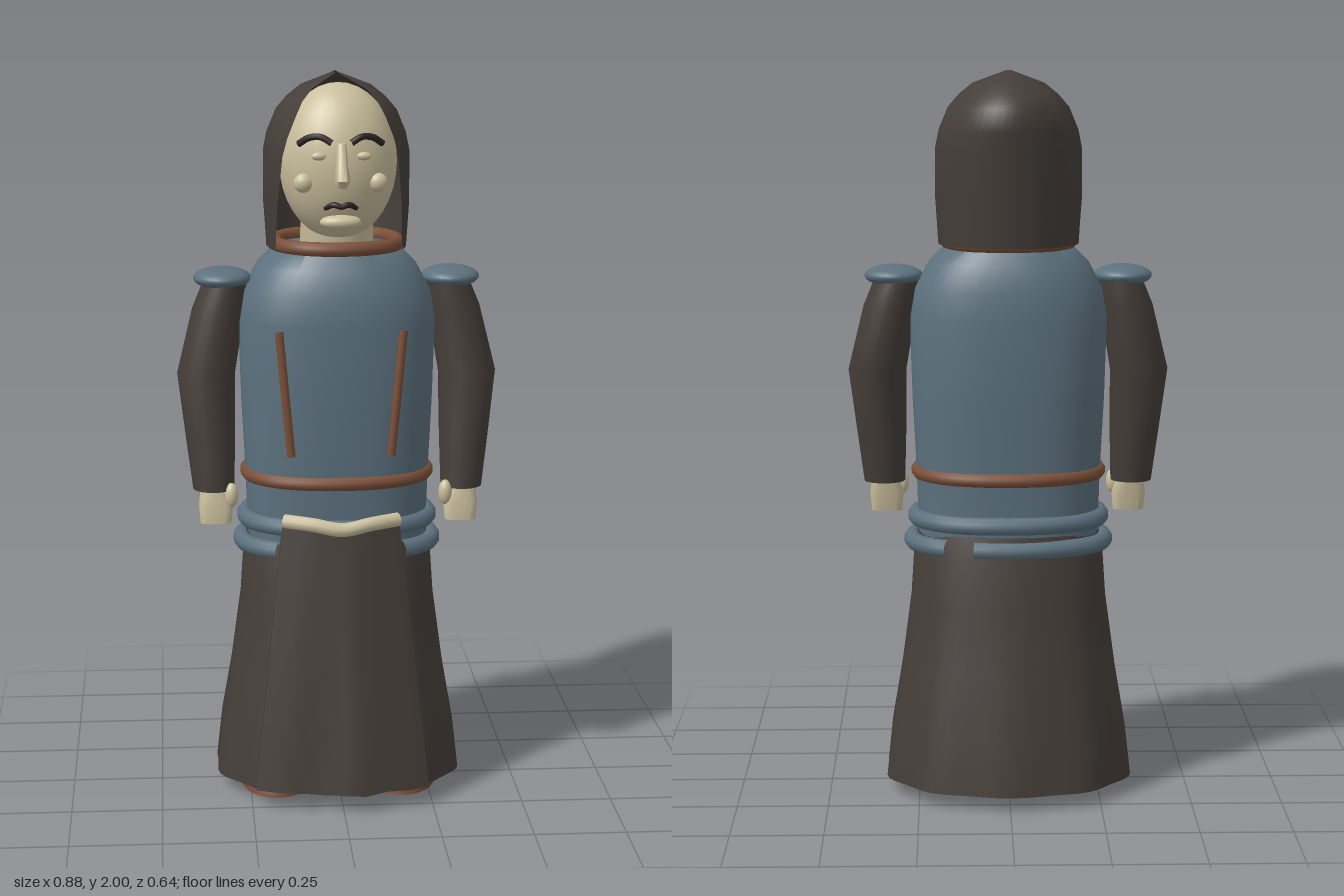
import * as THREE from 'three';
import { toCreasedNormals } from 'three/addons/utils/BufferGeometryUtils.js';

const mat = (name, color, side = THREE.FrontSide) => {
  const m = new THREE.MeshStandardMaterial({ color, side });
  m.name = name;
  return m;
};

// Skins a stack of horizontal loops (listed bottom to top, running from +z towards +x)
function loft(loops, { closed = true, caps = true, crease = 0.9 } = {}) {
  const n = loops[0].length, pos = loops.flat(2), idx = [];
  for (let i = 0; i < loops.length - 1; i++)
    for (let j = 0; j < (closed ? n : n - 1); j++) {
      const a = i * n + j, b = i * n + (j + 1) % n;
      idx.push(a, b, b + n, a, b + n, a + n);
    }
  if (caps) for (const [row, up] of [[0, false], [loops.length - 1, true]]) {
    const c = pos.length / 3;
    for (let k = 0; k < 3; k++) pos.push(loops[row].reduce((s, p) => s + p[k], 0) / n);
    for (let j = 0; j < n; j++) {
      const a = row * n + j, b = row * n + (j + 1) % n;
      idx.push(c, up ? a : b, up ? b : a);
    }
  }
  const g = new THREE.BufferGeometry();
  g.setAttribute('position', new THREE.Float32BufferAttribute(pos, 3));
  g.setIndex(idx);
  return toCreasedNormals(g, crease);
}

// Superellipse loop round (x, z)
function oval(y, x, z, rx, rz, { power = 2, n = 40, pleat = 0 } = {}) {
  const curve = v => Math.sign(v) * Math.abs(v) ** (2 / power);
  return Array.from({ length: n }, (_, j) => {
    const a = j / n * Math.PI * 2, k = 1 + pleat * Math.cos(a * 10);
    return [x + rx * k * curve(Math.sin(a)), y, z + rz * k * curve(Math.cos(a))];
  });
}

export function createModel() {
  const root = new THREE.Group();
  root.name = 'hoodedFigure';
  const cloth = mat('dark cloth', 0x453e39, THREE.DoubleSide);
  const blue = mat('slate blue', 0x5c717e);
  const skin = mat('pale skin', 0xcabf9d);
  const leather = mat('brown leather', 0x7b4f38);
  const hair = mat('dark hair', 0x2e2624);

  const add = (name, geo, material) => {
    const m = new THREE.Mesh(geo, material);
    m.name = name;
    root.add(m);
    return m;
  };
  const ball = (name, material, p, r) => {
    const m = add(name, new THREE.SphereGeometry(1, 28, 18), material);
    m.position.set(...p);
    m.scale.set(...r);
    return m;
  };
  const tube = (name, material, pts, r, closed = false) => {
    const path = new THREE.CatmullRomCurve3(pts.map(p => new THREE.Vector3(...p)), closed);
    return add(name, new THREE.TubeGeometry(path, closed ? 72 : 24, r, 10, closed), material);
  };
  const ring = (name, material, y, z, rx, rz, r) =>
    tube(name, material, oval(y, 0, z, rx, rz, { power: 2.3, n: 24 }), r, true);

  // Torso: height, half width, front z, back z
  const body = (rows, opt) => rows.map(([y, rx, zf, zb, pleat = 0]) =>
    oval(y, 0, (zf + zb) / 2, rx, (zf - zb) / 2, { ...opt, pleat }));
  add('tunic', loft(body([
    [0.66, 0.25, 0.165, -0.205], [0.8, 0.252, 0.17, -0.21], [0.9, 0.255, 0.175, -0.215],
    [1.1, 0.265, 0.185, -0.235], [1.33, 0.272, 0.187, -0.24], [1.41, 0.258, 0.182, -0.235],
    [1.48, 0.22, 0.155, -0.22], [1.53, 0.17, 0.12, -0.19]], { power: 2.4 })), blue);

  // Skirt with pleats growing to the hem
  add('skirt', loft(body([
    [0.04, 0.345, 0.275, -0.315, 0.018], [0.18, 0.33, 0.26, -0.3, 0.012], [0.35, 0.3, 0.228, -0.272, 0.007],
    [0.55, 0.272, 0.203, -0.243, 0.003], [0.68, 0.263, 0.185, -0.228], [0.74, 0.25, 0.17, -0.215]],
  { power: 2.2, n: 60 })), cloth);

  // Apron panel: wavy hem, nearly plain top
  const hem = [0.25, 0.275, 0.285, 0.282, 0.312, 0.32, 0.285, 0.278, 0.25];
  const apronLoop = t => {
    const w = 0.24 + (0.16 - 0.24) * t, y = 0.05 + 0.74 * t;
    const front = hem.map((z, i) => {
      const u = i / 4 - 1;
      return [u * w, y, z * (1 - t) + (0.215 - 0.04 * u * u) * t];
    });
    return [...front, ...front.map(([x, , z]) => [x, y, z - 0.03]).reverse()];
  };
  add('apron', loft([0, 0.25, 0.5, 0.75, 1].map(apronLoop), { crease: 0.7 }), cloth);
  tube('apronSash', skin, [[-0.155, 0.8, 0.18], [-0.08, 0.797, 0.215], [0, 0.785, 0.228],
    [0.08, 0.797, 0.215], [0.155, 0.8, 0.18]], 0.02);

  // Belt, collar and hip bands
  ring('belt', leather, 0.9, -0.02, 0.25, 0.192, 0.02);
  ring('collar', leather, 1.538, -0.04, 0.168, 0.165, 0.02);
  ring('upperHipBand', blue, 0.772, -0.02, 0.255, 0.187, 0.025);
  const bandLoop = oval(0.705, 0, -0.02, 0.266, 0.19, { power: 2.3, n: 40 });
  tube('lowerHipBandLeft', blue, bandLoop.slice(4, 17), 0.025);
  tube('lowerHipBandRight', blue, bandLoop.slice(18, 37), 0.025);

  // Head and face
  add('neck', loft([oval(1.5, 0, -0.02, 0.1, 0.1), oval(1.64, 0, 0, 0.1, 0.1)]), skin);
  ball('head', skin, [0, 1.768, 0.045], [0.16, 0.212, 0.142]);
  ball('chin', skin, [0, 1.615, 0.145], [0.056, 0.022, 0.03]);
  add('nose', loft([
    oval(1.715, 0, 0.205, 0.014, 0.026), oval(1.735, 0, 0.212, 0.022, 0.034),
    oval(1.77, 0, 0.2, 0.016, 0.028), oval(1.83, 0, 0.178, 0.013, 0.02)]), skin);
  tube('moustache', hair, [[-0.042, 1.655, 0.152], [-0.02, 1.665, 0.17], [0, 1.66, 0.174],
    [0.02, 1.665, 0.17], [0.042, 1.655, 0.152]], 0.008);

  // Hood: height, half width, back z, opening half width, opening z
  const hoodRows = [[1.53, 0.192, -0.235, 0.172, 0.085], [1.65, 0.2, -0.25, 0.168, 0.11],
    [1.79, 0.2, -0.27, 0.155, 0.14], [1.84, 0.19, -0.278, 0.142, 0.148], [1.9, 0.165, -0.284, 0.118, 0.145],
    [1.935, 0.135, -0.25, 0.1, 0.118], [1.965, 0.098, -0.2, 0.072, 0.075], [2, 0.004, -0.1, 0.003, -0.02]];
  add('hood', loft(hoodRows.map(([y, rx, zb, ex, ez]) => {
    const end = Math.PI - Math.asin(ex / rx), zm = y > 1.99 ? -0.06 : -0.04;
    return Array.from({ length: 41 }, (_, j) => {
      const a = end * (1 - j / 20), c = Math.cos(a);
      return [rx * Math.sin(a), y, c > 0 ? zm - (zm - zb) * c : zm + (ez - zm) * c / Math.cos(end)];
    });
  }), { closed: false, caps: false }), cloth);

  // Paired parts
  for (const [side, s] of [['left', 1], ['right', -1]]) {
    ball(side + 'Eye', skin, [s * 0.06, 1.795, 0.176], [0.02, 0.011, 0.01]);
    ball(side + 'Cheek', skin, [s * 0.1, 1.722, 0.152], [0.026, 0.026, 0.022]);
    tube(side + 'Brow', hair, [[s * 0.025, 1.83, 0.184], [s * 0.055, 1.846, 0.174],
      [s * 0.085, 1.843, 0.16], [s * 0.112, 1.825, 0.142]], 0.009);

    tube(side + 'ChestStrap', leather, [[s * 0.168, 1.325, 0.178], [s * 0.152, 1.15, 0.18],
      [s * 0.136, 0.98, 0.178]], 0.012);

    add(side + 'Sleeve', loft([
      [0.86, 0.345, 0.03, 0.057, 0.06], [1.0, 0.352, 0.015, 0.068, 0.068], [1.18, 0.362, -0.01, 0.08, 0.078],
      [1.36, 0.325, -0.025, 0.073, 0.084], [1.44, 0.305, -0.025, 0.06, 0.075],
    ].map(([y, x, z, rx, rz]) => oval(y, s * x, z, rx, rz, { n: 24 }))), cloth);
    ball(side + 'ShoulderPad', blue, [s * 0.315, 1.442, -0.025], [0.08, 0.03, 0.09]);

    add(side + 'Hand', loft([
      oval(0.77, s * 0.34, 0.06, 0.043, 0.026, { power: 3 }), oval(0.82, s * 0.34, 0.055, 0.047, 0.032, { power: 3 }),
      oval(0.88, s * 0.345, 0.045, 0.035, 0.03)]), skin);
    ball(side + 'Thumb', skin, [s * 0.297, 0.848, 0.07], [0.019, 0.035, 0.02]);

    add(side + 'Boot', loft([
      oval(0, s * 0.175, 0.045, 0.098, 0.135), oval(0.04, s * 0.175, 0.045, 0.096, 0.13),
      oval(0.1, s * 0.17, 0.02, 0.075, 0.09)]), leather);
  }
  return root;
}
